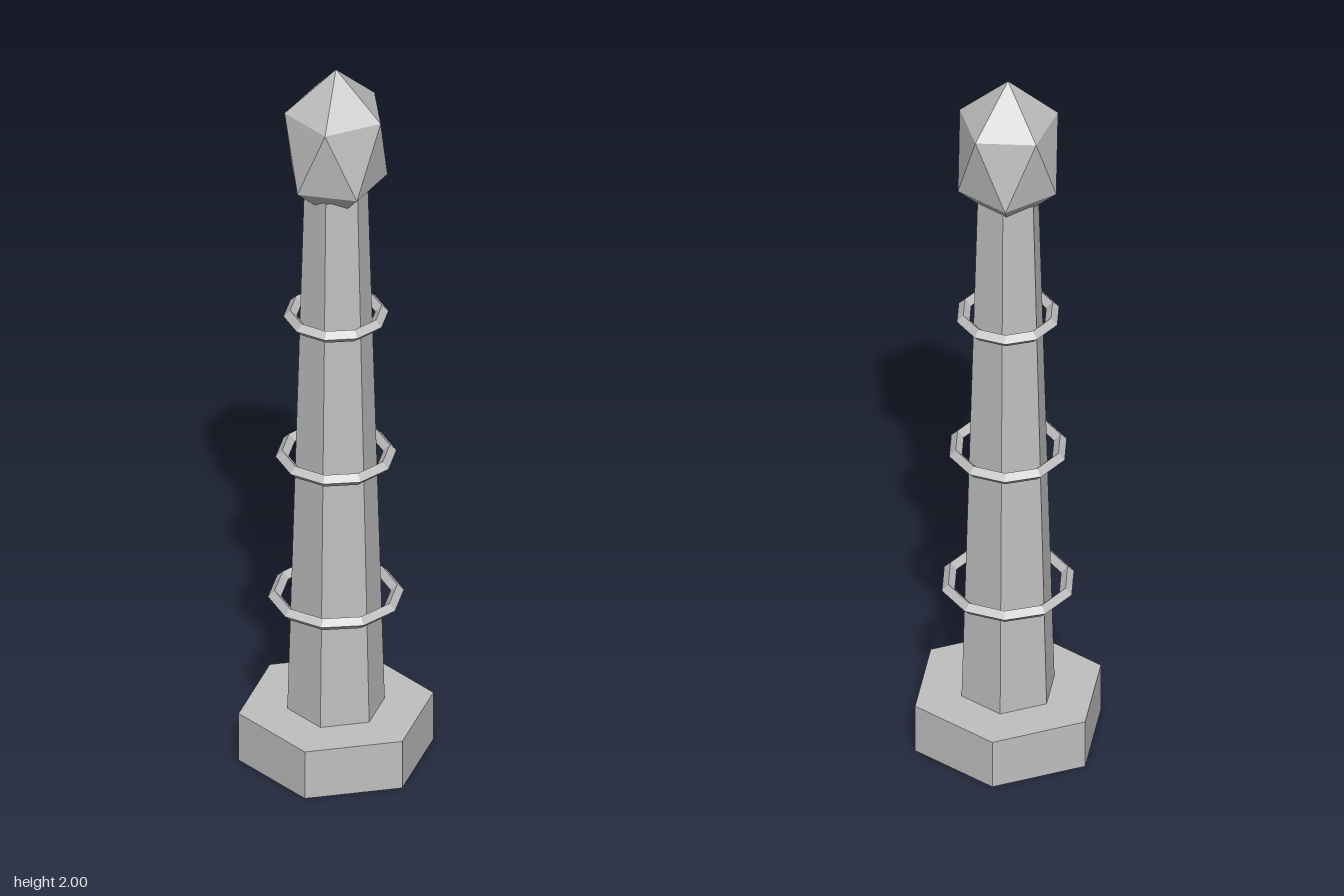
import * as THREE from 'three';

export function createModel() {
  const group = new THREE.Group();
  const stone = new THREE.MeshStandardMaterial({ color: 0xbfbfbf, flatShading: true });
  stone.name = 'grey stone';

  const add = (name, geometry, y) => {
    const mesh = new THREE.Mesh(geometry, stone);
    mesh.name = name;
    mesh.position.y = y;
    group.add(mesh);
  };

  // Hexagonal plinth
  const baseHeight = 0.137;
  add('base', new THREE.CylinderGeometry(0.25, 0.25, baseHeight, 6), baseHeight / 2);

  // Tapered hexagonal shaft, its top sunk into the crystal
  const shaftTop = 1.65;
  const shaftHeight = shaftTop - baseHeight;
  add('shaft', new THREE.CylinderGeometry(0.082, 0.125, shaftHeight, 6), baseHeight + shaftHeight / 2);

  // Three floating rings, narrowing upwards
  [[0.155, 0.46], [0.136, 0.871], [0.116, 1.282]].forEach(([radius, y], i) => {
    add(`ring${i + 1}`, new THREE.TorusGeometry(radius, 0.0168, 4, 10).rotateX(-Math.PI / 2), y);
  });

  // Stretched icosahedron standing on one vertex
  const golden = (1 + Math.sqrt(5)) / 2;
  const crystal = new THREE.IcosahedronGeometry(0.1455, 0)
    .rotateZ(-Math.atan(1 / golden))
    .scale(1, 1.5, 1);
  add('crystal', crystal, 2 - 0.1455 * 1.5);

  return group;
}
